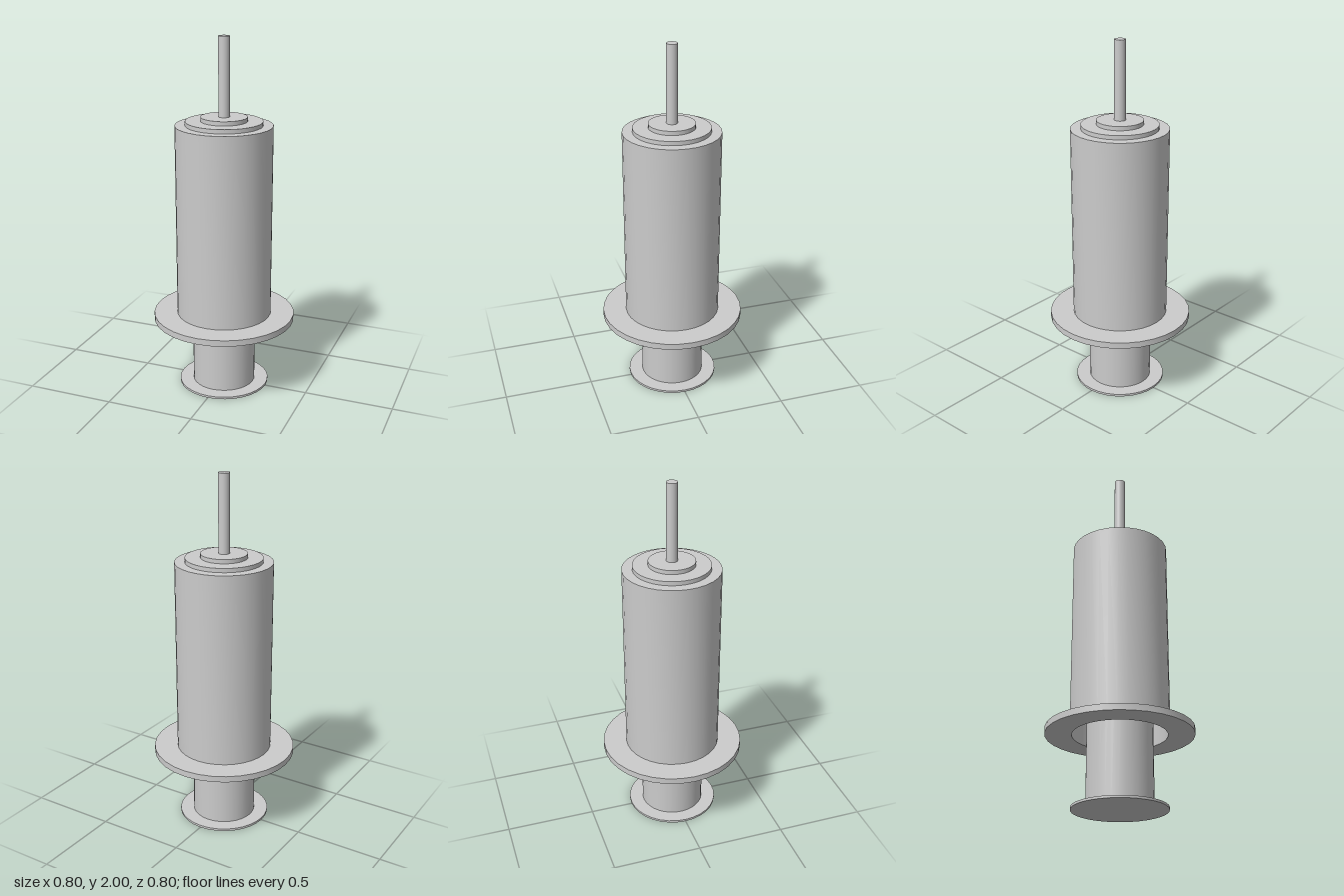
import * as THREE from 'three';
import { toCreasedNormals } from 'three/addons/utils/BufferGeometryUtils.js';

const SIDES = 32;
const material = new THREE.MeshStandardMaterial({ color: 0xcccccc });

// Solid disc or rod between two heights
function rod(name, radius, bottom, top) {
  const mesh = new THREE.Mesh(new THREE.CylinderGeometry(radius, radius, top - bottom, SIDES), material);
  mesh.position.y = (bottom + top) / 2;
  mesh.name = name;
  return mesh;
}

// Turned part from a profile of [radius, height] points, with crisp edges
function turned(name, profile) {
  const points = profile.map(([r, y]) => new THREE.Vector2(r, y));
  const geometry = toCreasedNormals(new THREE.LatheGeometry(points, SIDES), 0.6);
  const mesh = new THREE.Mesh(geometry, material);
  mesh.name = name;
  return mesh;
}

export function createModel() {
  const model = new THREE.Group();
  model.name = 'syringe';

  // Hollow body: open at the bottom, closed at the top
  const body = new THREE.Group();
  body.name = 'body';
  body.add(
    turned('barrel', [[0, 1.5], [0.256, 1.5], [0.256, 0.4], [0.268, 0.4], [0.268, 1.523], [0, 1.523]]),
    turned('fingerFlange', [[0.268, 0.4], [0.4, 0.4], [0.4, 0.435], [0.268, 0.435]])
  );

  // Stepped tip and needle
  const tip = new THREE.Group();
  tip.name = 'tip';
  tip.add(
    rod('lowerCollar', 0.212, 1.523, 1.546),
    rod('upperCollar', 0.128, 1.546, 1.569),
    rod('needle', 0.031, 1.569, 2)
  );

  // Plunger sliding inside the barrel
  const plunger = new THREE.Group();
  plunger.name = 'plunger';
  plunger.add(
    rod('thumbRest', 0.256, 0, 0.013),
    rod('plungerRod', 0.178, 0.013, 1.2),
    rod('stopper', 0.25, 1.2, 1.26)
  );

  model.add(body, tip, plunger);
  return model;
}
